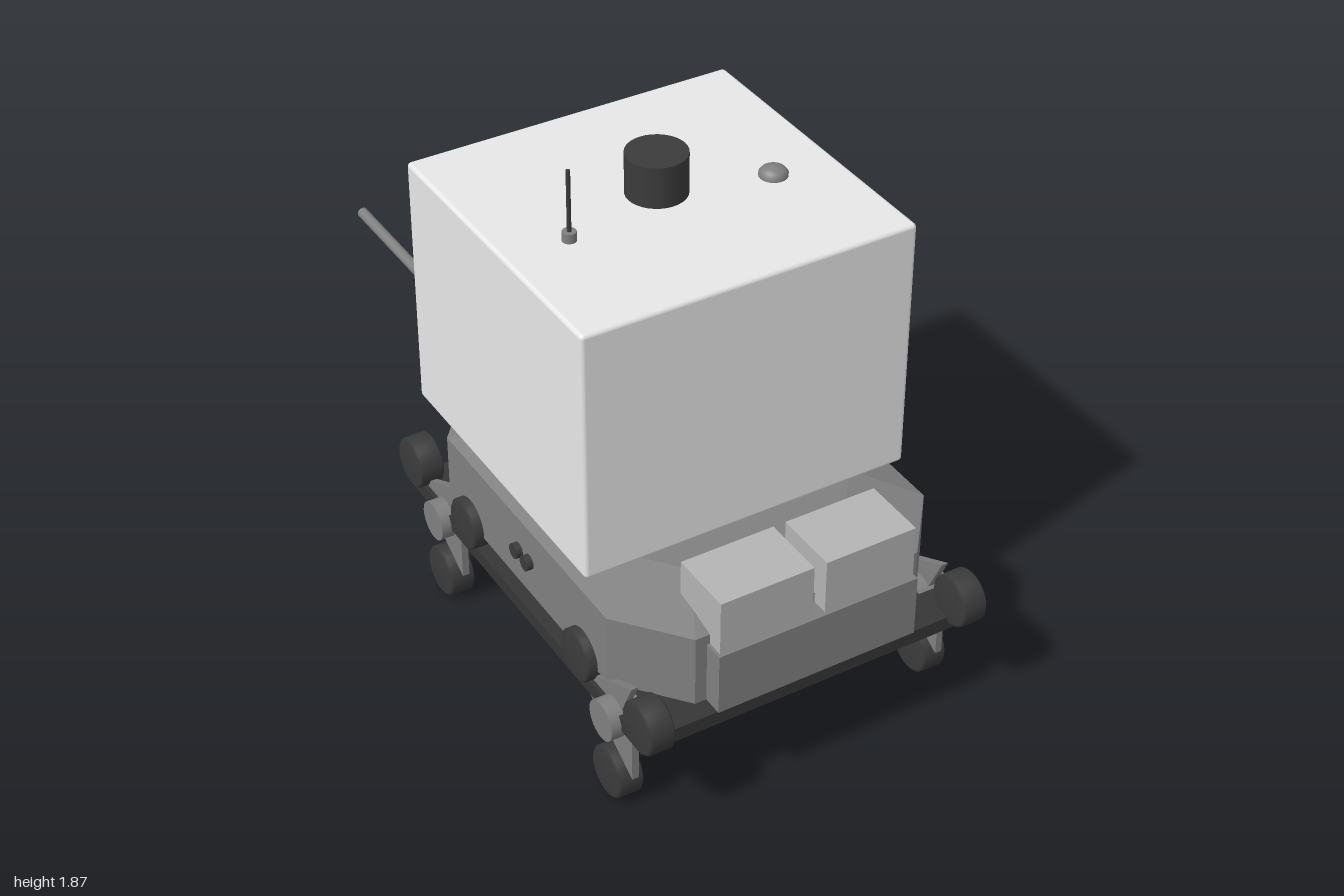
import * as THREE from 'three';
import { RoundedBoxGeometry } from 'three/addons/geometries/RoundedBoxGeometry.js';
import { ConvexGeometry } from 'three/addons/geometries/ConvexGeometry.js';

export function createModel() {
  const root = new THREE.Group();
  root.name = 'roverWithHollowCabin';

  const mat = (name, color, flatShading = false) => {
    const m = new THREE.MeshStandardMaterial({ color });
    m.name = name;
    m.flatShading = flatShading;
    return m;
  };
  const shellWhite = mat('shellWhite', 0xe8e8e8);
  const dishWhite = mat('dishWhite', 0xe2e2e2, true);
  const boxGrey = mat('boxGrey', 0xb4b4b4);
  const hullGrey = mat('hullGrey', 0x808080);
  const dark = mat('darkGrey', 0x3b3b3b);
  const panBlack = mat('panBlack', 0x363636);
  const cyan = mat('cyanLight', 0x00bcd4);

  const add = (name, geo, material, x = 0, y = 0, z = 0, parent = root) => {
    const m = new THREE.Mesh(geo, material);
    m.name = name;
    m.position.set(x, y, z);
    parent.add(m);
    return m;
  };
  // box from its min and max corners
  const box = (name, material, a, b) => add(name,
    new THREE.BoxGeometry(b[0] - a[0], b[1] - a[1], b[2] - a[2]), material,
    (a[0] + b[0]) / 2, (a[1] + b[1]) / 2, (a[2] + b[2]) / 2);
  // cylinder along a chosen axis
  const cyl = (name, material, r, len, axis, x, y, z, seg = 24) => {
    const g = new THREE.CylinderGeometry(r, r, len, seg);
    if (axis === 'x') g.rotateZ(Math.PI / 2);
    if (axis === 'z') g.rotateX(Math.PI / 2);
    return add(name, g, material, x, y, z);
  };
  // rectangle with cut corners, at height y
  const octagon = (y, hx, z0, z1, cx, cz) => {
    const pts = [];
    for (const s of [-1, 1]) {
      pts.push([s * hx, z0 + cz], [s * (hx - cx), z0], [s * hx, z1 - cz], [s * (hx - cx), z1]);
    }
    return pts.map(([x, z]) => new THREE.Vector3(x, y, z));
  };

  // Chassis: hull, sloped deck, tapered underbody and flat pan
  add('hull', new ConvexGeometry([
    ...octagon(0.415, 0.58, -0.58, 0.9, 0.18, 0.22),
    ...octagon(0.67, 0.58, -0.58, 0.9, 0.18, 0.22)]), hullGrey);
  add('deck', new ConvexGeometry([
    ...octagon(0.67, 0.58, -0.58, 0.9, 0.18, 0.22),
    ...octagon(0.727, 0.41, -0.38, 0.67, 0.13, 0.16)]), hullGrey);
  add('underbody', new ConvexGeometry([
    ...octagon(0.355, 0.51, -0.51, 0.83, 0.16, 0.2),
    ...octagon(0.415, 0.575, -0.575, 0.895, 0.18, 0.22)]), panBlack);
  box('pan', panBlack, [-0.595, 0.31, -0.61], [0.595, 0.36, 0.915]);

  // Front equipment
  box('frontRack', hullGrey, [-0.36, 0.415, 0.72], [0.355, 0.635, 0.97]);
  box('rackBar', hullGrey, [-0.4, 0.6, 0.845], [0.4, 0.665, 0.875]);
  box('cargoBoxRight', boxGrey, [-0.35, 0.63, 0.73], [-0.022, 0.828, 0.957]);
  box('cargoBoxLeft', boxGrey, [0.022, 0.63, 0.73], [0.345, 0.828, 0.957]);

  // Cabin shell: five rounded panels, open at the back
  const t = 0.03, X = 0.58, Y0 = 0.728, Y1 = 1.623, Z0 = -0.545, Z1 = 0.557;
  const panel = (name, a, b) => add(name,
    new RoundedBoxGeometry(b[0] - a[0], b[1] - a[1], b[2] - a[2], 3, t / 2 - 0.0005), shellWhite,
    (a[0] + b[0]) / 2, (a[1] + b[1]) / 2, (a[2] + b[2]) / 2);
  panel('shellFloor', [-X, Y0, Z0], [X, Y0 + t, Z1]);
  panel('shellRoof', [-X, Y1 - t, Z0], [X, Y1, Z1]);
  panel('shellFront', [-X, Y0, Z1 - t], [X, Y1, Z1]);
  panel('shellRightWall', [-X, Y0, Z0], [-X + t, Y1, Z1]);
  panel('shellLeftWall', [X - t, Y0, Z0], [X, Y1, Z1]);

  // Faceted oval door in the opening
  const oval = new THREE.SphereGeometry(1, 14, 8);
  oval.rotateX(Math.PI / 2);
  oval.scale(0.52, 0.4, 0.026);
  add('ovalDoor', oval, dishWhite, 0, 1.175, -0.572);
  cyl('doorHandle', hullGrey, 0.012, 0.16, 'x', 0.435, 1.175, -0.635, 12);
  cyl('rearBoom', hullGrey, 0.018, 0.46, 'z', -0.54, 1.175, -0.77, 16);
  cyl('lightStrip', cyan, 0.011, 1.06, 'x', 0, 0.722, -0.546, 12);

  // Rear cameras in the upper corners
  for (const s of [-1, 1]) {
    cyl('cameraBody', boxGrey, 0.036, 0.12, 'z', s * 0.46, 1.555, -0.485);
    cyl('cameraRing', dark, 0.03, 0.016, 'z', s * 0.46, 1.555, -0.549);
    cyl('cameraLens', hullGrey, 0.014, 0.01, 'z', s * 0.46, 1.555, -0.56, 16);
  }

  // Roof equipment
  cyl('scanner', dark, 0.1, 0.145, 'y', 0, 1.693, 0, 32);
  cyl('antennaBase', hullGrey, 0.023, 0.035, 'y', -0.362, 1.638, 0.102, 16);
  cyl('antennaRod', dark, 0.007, 0.22, 'y', -0.362, 1.757, 0.102, 10);
  const dome = [[0.047, 0], [0.047, 0.015], [0.038, 0.026], [0.022, 0.034], [0, 0.036]]
    .map(([r, y]) => new THREE.Vector2(r, y));
  add('roofDome', new THREE.LatheGeometry(dome, 24), hullGrey, 0.357, 1.62, 0.102);

  // Sensors on the sides and the rear
  for (const s of [-1, 1]) {
    for (const z of [0.125, 0.195]) cyl('sideSensor', dark, 0.026, 0.05, 'x', s * 0.577, 0.545, z);
    cyl('rearSensor', dark, 0.026, 0.05, 'z', s * 0.035, 0.545, -0.577);
  }
  cyl('rearLamp', dark, 0.045, 0.05, 'z', 0, 0.45, -0.577);

  // Running gear: four bogies, each with an arm, a hub and three wheels
  const armShape = new THREE.Shape([[0.105, 0.5], [-0.17, 0.36], [-0.2, 0.31], [0.105, 0.13],
    [0.105, 0.31], [0.04, 0.36]].map(([z, y]) => new THREE.Vector2(-z, y)));
  const armGeo = new THREE.ExtrudeGeometry(armShape, { depth: 0.024, bevelEnabled: false });
  armGeo.translate(0, 0, -0.012);
  armGeo.rotateY(Math.PI / 2);
  const wheelProfile = [[0, -0.044], [0.08, -0.044], [0.089, -0.036], [0.089, 0.036],
    [0.08, 0.044], [0, 0.044]].map(([r, y]) => new THREE.Vector2(r, y));
  const wheelGeo = new THREE.LatheGeometry(wheelProfile, 28);
  wheelGeo.rotateZ(Math.PI / 2);
  for (const s of [-1, 1]) {
    for (const z of [0.725, -0.4]) {
      add('bogieArm', armGeo, hullGrey, s * 0.568, 0, z);
      cyl('bogieHub', hullGrey, 0.069, 0.115, 'x', s * 0.572, 0.315, z);
      for (const [dz, y] of [[0.19, 0.425], [-0.19, 0.425], [0, 0.09]]) {
        add('wheel', wheelGeo, dark, s * 0.57, y, z + dz);
      }
    }
  }
  return root;
}
